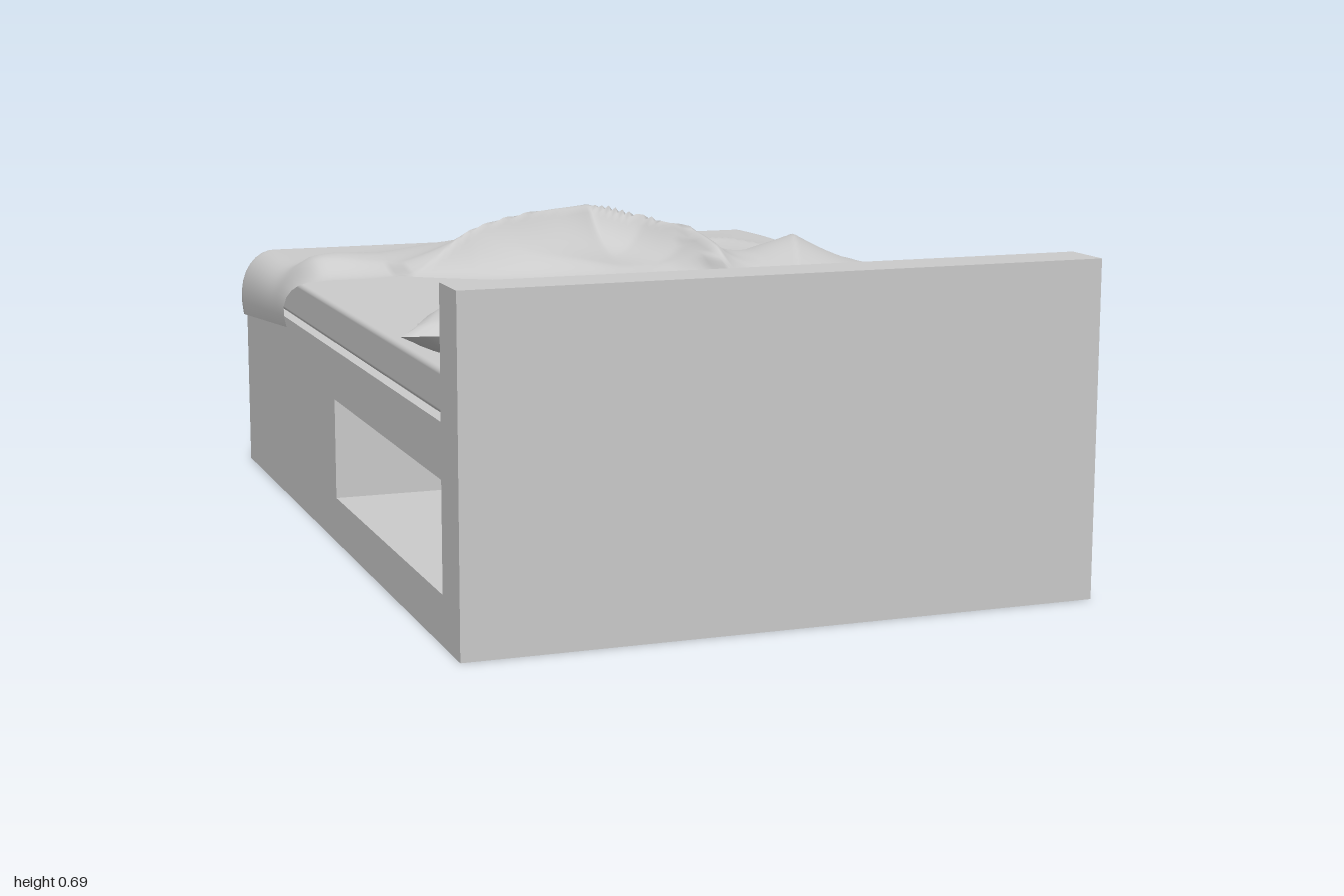
import * as THREE from 'three';
import { RoundedBoxGeometry } from 'three/addons/geometries/RoundedBoxGeometry.js';

const { lerp, smoothstep, clamp } = THREE.MathUtils;
const solid = new THREE.MeshStandardMaterial({ color: 0xcccccc });
const cloth = new THREE.MeshStandardMaterial({ color: 0xcccccc, side: THREE.DoubleSide });

function part(parent, name, geometry, material = solid) {
  const mesh = new THREE.Mesh(geometry, material);
  mesh.name = name;
  parent.add(mesh);
  return mesh;
}

// Box given by its limits on each axis
function box(x0, x1, y0, y1, z0, z1) {
  return new THREE.BoxGeometry(x1 - x0, y1 - y0, z1 - z0)
    .translate((x0 + x1) / 2, (y0 + y1) / 2, (z0 + z1) / 2);
}

// Smooth grid surface; f(u, v) returns [x, y, z]
function sheet(nu, nv, f) {
  const points = [], index = [];
  for (let j = 0; j <= nv; j++) {
    for (let i = 0; i <= nu; i++) {
      points.push(...f(i / nu, j / nv));
      if (i < nu && j < nv) {
        const a = j * (nu + 1) + i, b = a + nu + 1;
        index.push(a, b, a + 1, b, b + 1, a + 1);
      }
    }
  }
  const g = new THREE.BufferGeometry();
  g.setAttribute('position', new THREE.Float32BufferAttribute(points, 3));
  g.setIndex(index);
  g.computeVertexNormals();
  return g;
}

// Piecewise linear table lookup
function lookup(table, x) {
  let i = 1;
  while (i < table.length - 1 && x > table[i][0]) i++;
  const [a, b] = [table[i - 1], table[i]];
  return lerp(a[1], b[1], clamp((x - a[0]) / (b[0] - a[0]), 0, 1));
}

// Front hem of the blanket: [x, z]
const hem = [[-0.7, -0.36], [-0.64, -0.2], [-0.48, -0.11], [-0.47, -0.05], [-0.3, -0.05], [-0.05, -0.02], [0.14, 0.05],
  [0.19, 0.13], [0.21, 0.25], [0.34, 0.44], [0.46, 0.35], [0.63, 0.2], [0.66, 0.14], [0.7, 0.03]];

// Folds: ridge lines of [x, z, height] with a width
const folds = [
  { w: 0.07, line: [[-0.47, -0.06, 0.06], [-0.2, -0.22, 0.09], [0.06, -0.38, 0.12]] },
  { w: 0.055, line: [[0.06, -0.38, 0.12], [0.16, -0.26, 0.11], [0.22, -0.1, 0.09], [0.22, 0.04, 0.07], [0.2, 0.14, 0.04]] },
  { w: 0.07, line: [[-0.2, -0.47, 0.03], [0.06, -0.41, 0.09]] },
  { w: 0.07, line: [[0.2, -0.72, 0.01], [0.45, -0.45, 0.025], [0.56, -0.15, 0.02]] },
  { w: 0.08, line: [[0.45, -0.05, 0.04], [0.36, 0.2, 0.015], [0.34, 0.4, 0.005]] },
];
// Soft swells: [x, z, radius, height]
const swells = [[-0.3, -0.32, 0.22, 0.05], [-0.6, -0.33, 0.12, 0.04], [0.42, -0.02, 0.16, 0.05],
  [-0.05, -0.12, 0.16, 0.02], [0, -0.36, 0.13, 0.03]];

function foldHeight(x, z) {
  let h = 0;
  for (const { w, line } of folds) {
    for (let i = 1; i < line.length; i++) {
      const [ax, az, ah] = line[i - 1], [bx, bz, bh] = line[i];
      const dx = bx - ax, dz = bz - az;
      const t = clamp(((x - ax) * dx + (z - az) * dz) / (dx * dx + dz * dz), 0, 1);
      const d = Math.hypot(x - ax - dx * t, z - az - dz * t);
      h = Math.max(h, lerp(ah, bh, t) * Math.exp(-d / w));
    }
  }
  for (const [sx, sz, r, a] of swells) h += a * Math.exp(-((x - sx) ** 2 + (z - sz) ** 2) / (r * r));
  return Math.min(h, 0.135);
}

// Blanket: wavy top, hanging over both sides and sloping off the foot end
function blanketPoint(u, v) {
  const s = u * 2 - 1, a = Math.abs(s);
  const q = Math.max(0, (a - 0.86) / 0.14);
  const x = a < 0.86 ? 0.62 * s / 0.86 : Math.sign(s) * (0.62 + 0.075 * Math.sin(q * 1.9));
  const front = lookup(hem, x);
  const z = lerp(-0.98 + 0.012 * s - 0.01 * a ** 8, front, v);
  let y = 0.545 + foldHeight(x, z) * lerp(0.35, 1, smoothstep(front - z, 0, 0.12));
  y += 0.004 * Math.sin(9 * x + 5 * z) * smoothstep(z, -0.85, -0.6);
  // Foot slope, then side drape
  const p = clamp((-0.8 - z) / 0.18, 0, 1);
  y = lerp(y, 0.445, p * p);
  const sideHem = lookup([[-1, 0.37], [-0.4, 0.42], [0, 0.455], [0.1, 0.505]], z);
  y = lerp(y, sideHem, q ** 1.8);
  return [x * (1 - 0.05 * smoothstep(-z, 0.82, 1)), y, z];
}

// Pillow from four corners; bulge pushes its long edges out (+) or in (-)
function pillow(parent, name, corners, bulge) {
  const group = new THREE.Group();
  group.name = name;
  parent.add(group);
  for (const up of [1, -1]) {
    part(group, up > 0 ? 'pillowTop' : 'pillowUnderside', sheet(24, 18, (u, v) => {
      const s = 2 * u - 1, t = 2 * v - 1;
      const fu = 0.5 + s * (0.5 - 0.04 * (1 - t * t));
      const fv = 0.5 + t * (0.5 + bulge * (1 - s * s));
      const p = [0, 1, 2].map(k => lerp(lerp(corners[0][k], corners[1][k], fu), lerp(corners[3][k], corners[2][k], fu), fv));
      const puff = Math.sqrt((1 - s * s) * (1 - t * t));
      p[1] += up * 0.08 * puff + 0.004 * Math.sin(7 * s + 4 * t) * puff;
      p[1] = Math.max(0.517, p[1]);
      return p;
    }), cloth);
  }
}

export function createModel() {
  const bed = new THREE.Group();
  bed.name = 'bed';

  // Headboard and base as one side profile with the storage niche cut through
  const profile = new THREE.Shape([[-0.915, 0], [1, 0], [1, 0.69], [0.887, 0.69], [0.887, 0.43], [-0.915, 0.43]]
    .map(([z, y]) => new THREE.Vector2(z, y)));
  profile.holes.push(new THREE.Path([[0.03, 0.1], [0.03, 0.32], [0.885, 0.32], [0.885, 0.1]]
    .map(([z, y]) => new THREE.Vector2(z, y))));
  part(bed, 'frame', new THREE.ExtrudeGeometry(profile, { depth: 1.316, bevelEnabled: false })
    .rotateY(-Math.PI / 2).translate(0.649, 0, 0));
  part(bed, 'nicheDivider', box(-0.16, 0.14, 0.1, 0.32, 0.03, 0.885));

  // Drawer at the foot end with a bar handle
  const drawer = new THREE.Group();
  drawer.name = 'drawer';
  bed.add(drawer);
  part(drawer, 'drawerBack', box(-0.49, 0.5, 0.12, 0.24, -0.928, -0.915));
  part(drawer, 'drawerFront', box(-0.505, 0.505, 0.1, 0.32, -0.941, -0.927));
  part(drawer, 'handleBar', new THREE.CylinderGeometry(0.006, 0.006, 0.57, 12)
    .rotateZ(Math.PI / 2).translate(-0.015, 0.2, -0.98));
  for (const x of [-0.26, 0.23]) {
    part(drawer, 'handlePost', new THREE.CylinderGeometry(0.004, 0.004, 0.04, 10)
      .rotateX(Math.PI / 2).translate(x, 0.2, -0.96));
  }

  // Mattress
  part(bed, 'mattress', new RoundedBoxGeometry(1.275, 0.09, 1.76, 3, 0.012).translate(-0.008, 0.471, -0.01));

  // Bedding
  part(bed, 'blanket', sheet(120, 90, blanketPoint), cloth);
  pillow(bed, 'leftPillow', [[-0.08, 0.535, 0.47], [0.55, 0.53, 0.43], [0.565, 0.565, 0.83], [-0.035, 0.57, 0.85]], -0.01);
  pillow(bed, 'rightPillow', [[-0.57, 0.53, 0.36], [-0.03, 0.55, 0.6], [-0.12, 0.565, 0.8], [-0.69, 0.56, 0.69]], 0.14);
  return bed;
}
